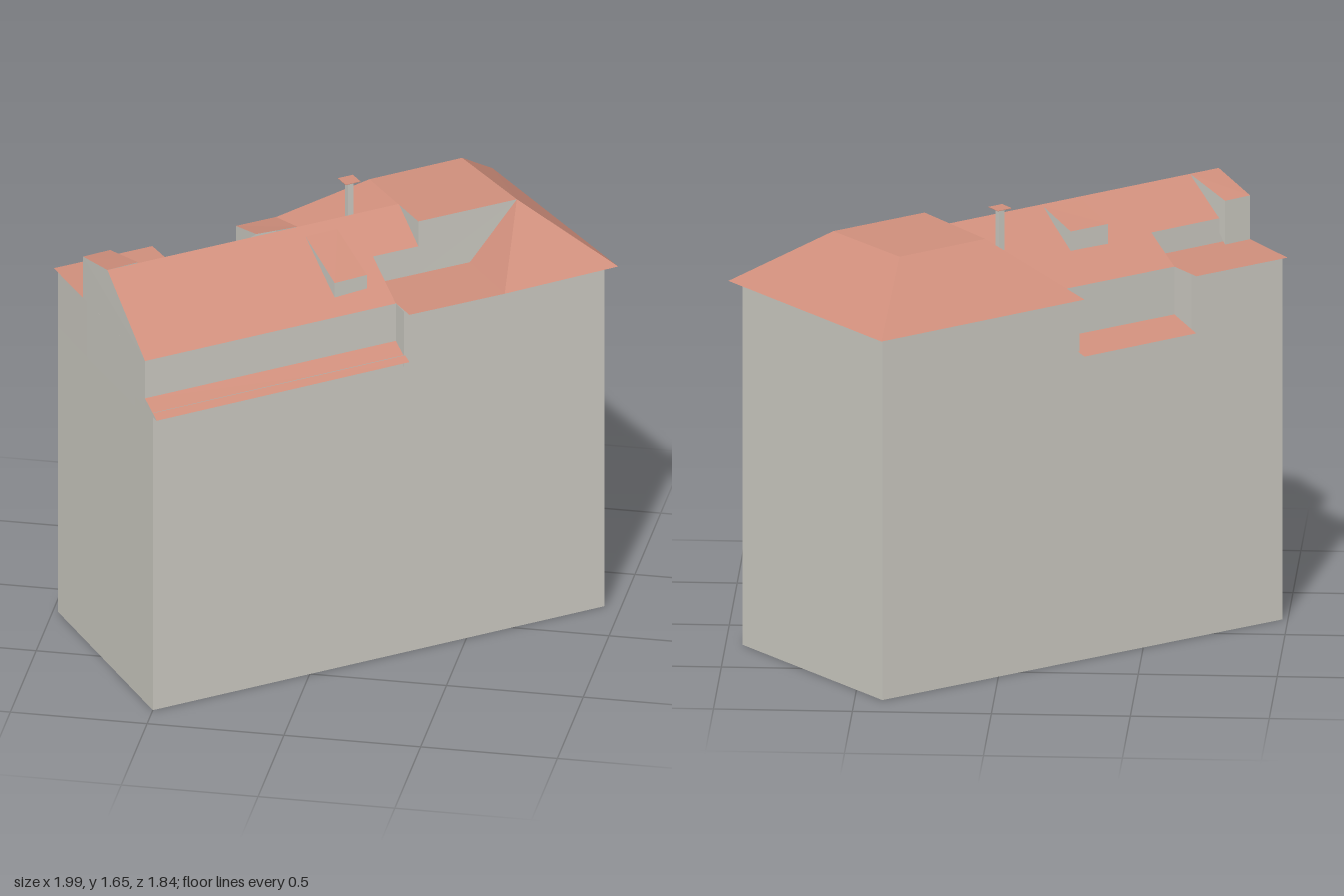
import * as THREE from 'three';

export function createModel() {
  const model = new THREE.Group();
  const material = (name, color) => {
    const m = new THREE.MeshStandardMaterial({ color, side: THREE.DoubleSide });
    m.name = name;
    return m;
  };
  const plaster = material('grey plaster', 0xcccac2);
  const tile = material('red roof tile', 0xd08f7c);

  // One mesh from flat convex polygons; corners are [x, y, z]
  function panels(name, mat, ...polygons) {
    const pos = [];
    for (const p of polygons)
      for (let i = 1; i < p.length - 1; i++) pos.push(...p[0], ...p[i], ...p[i + 1]);
    const geo = new THREE.BufferGeometry();
    geo.setAttribute('position', new THREE.Float32BufferAttribute(pos, 3));
    geo.computeVertexNormals();
    const mesh = new THREE.Mesh(geo, mat);
    mesh.name = name;
    model.add(mesh);
  }
  // Plan point [x, z] raised to a height
  const at = ([x, z], y) => [x, y, z];
  const level = (y, ...plan) => plan.map((p) => at(p, y));
  const upright = (a, b, y0, y1) => [at(a, y0), at(b, y0), at(b, y1), at(a, y1)];
  // Ring of upright walls around a plan
  const ring = (plan, y0, y1) => plan.map((a, i) => upright(a, plan[(i + 1) % plan.length], y0, y1));

  // Heights
  const eave = 1.37, ridge = 1.58, notch = 1.48, backNotch = 1.46;

  // Plan corners of the outer walls
  const west = [-0.98, 0.18], south = [-0.5, 0.89], east = [0.94, -0.23], north = [0.4, -0.86];
  // Main roof
  const ridgeW = [-0.73, 0.55], ridgeE = [0.2, -0.165];
  const frontW = [-0.54, 0.83], frontE = [0.26, 0.21];
  const backW = [-0.6, 0.03], backE = [-0.205, -0.27];
  // Terraces cut into the front and the back slope
  const cutA = [0.15, 0.07], cutB = [0.295, -0.04], cutC = [0.46, -0.165];
  const lowE = [0.325, 0.29], lowF = [0.63, 0.06];
  const nookA = [-0.51, 0.147], nookB = [-0.834, 0.4], nookC = [-0.685, -0.08];
  // Hipped end
  const hipN = [0.4, -0.92], hipE = [0.99, -0.23], hipW = [-0.3, -0.38];
  const topN = [0.355, -0.57], topE = [0.61, -0.28], topW = [0.06, -0.34];

  // Lower storeys
  const top = [1.16, 1.195, 1.195, 1.16];
  const base = [west, south, east, north];
  panels('mainWalls', plaster, ...base.map((a, i) => {
    const j = (i + 1) % 4, b = base[j];
    return [at(a, 0), at(b, 0), at(b, top[j]), at(a, top[i])];
  }));
  panels('floor', plaster, level(0, ...base));

  // Upper storey blocks
  panels('hipEndWalls', plaster,
    ...ring([north, east, [0.3, 0.268], frontE, backE, [-0.28, -0.348]], 1.15, eave));
  panels('backCornerWalls', plaster,
    ...ring([west, [-0.667, -0.056], backW, nookA, nookB], 1.15, eave));
  panels('setBackWalls', plaster, ...ring([frontW, frontE, backE, backW, nookB], 1.15, eave));

  // Gable at the west end
  const gableBack = [-0.853, 0.372];
  panels('gable', plaster,
    [at(frontW, eave), at(ridgeW, ridge), at(gableBack, 1.535), at(gableBack, eave)],
    [at(frontW, 1.175), at(frontW, 1.22), at([-0.48, 0.92], 1.18)]);

  // Main roof slopes, stepped around the terraces
  panels('frontSlope', tile,
    [at(ridgeW, ridge), at(frontW, eave), at(frontE, eave), at(cutA, notch)],
    [at(ridgeW, ridge), at(cutA, notch), at(cutB, notch), at(ridgeE, ridge)]);
  panels('backSlope', tile,
    [at(ridgeE, ridge), at(backE, eave), at(backW, eave), at(nookA, backNotch)],
    [at(ridgeE, ridge), at(nookA, backNotch), at(nookB, backNotch), at(ridgeW, ridge)]);

  // Low eave strips
  panels('frontEave', tile,
    [at(frontW, 1.22), at([-0.48, 0.92], 1.18), at(lowE, 1.18), at(frontE, 1.22)]);
  panels('backEave', tile,
    [at(backE, 1.19), at(hipW, 1.155), at(nookC, 1.155), at(backW, 1.19)]);

  // Terraces and the walls behind them
  panels('frontTerrace', tile, level(eave, cutA, lowE, lowF, cutC));
  panels('backTerrace', tile, level(eave, [-1, 0.16], nookB, nookA, nookC));
  panels('terraceWalls', plaster,
    upright(cutA, cutB, eave, notch),
    [at(cutB, eave), at(cutC, eave), at(topE, ridge), at(cutB, ridge)],
    [at(cutA, eave), at(frontE, eave), at(cutA, notch)],
    [at(ridgeE, ridge), at(cutB, notch), at(cutB, ridge)],
    upright(nookA, nookB, eave, backNotch),
    [at(nookA, eave), at(backW, eave), at(nookA, backNotch)]);

  // Hipped roof with a flat top
  panels('hipRoof', tile,
    [at(hipN, eave), at(topN, ridge), at(topE, ridge), at(hipE, eave)],
    [at(hipE, eave), at(topE, ridge), at(lowF, eave)],
    [at(lowF, eave), at(topE, ridge), at(cutC, eave)],
    [at(hipN, eave), at(hipW, eave), at(topW, ridge), at(topN, ridge)],
    [at(hipW, eave), at(backE, eave), at(ridgeE, ridge), at(topW, ridge)]);
  panels('flatTop', tile, level(ridge, topW, ridgeE, cutB, topE, topN));

  // Shed dormers: front corners a, b; upper corners c, d behind b, a
  function dormer(name, a, b, c, d, y0, y1, y2) {
    panels(name + 'Roof', tile, [at(a, y1), at(b, y1), at(c, y2), at(d, y2)]);
    panels(name + 'Walls', plaster, upright(a, b, y0, y1),
      [at(a, y0), at(a, y1), at(d, y2)], [at(b, y0), at(b, y1), at(c, y2)]);
  }
  dormer('frontDormer', [0.051, 0.286], [0.152, 0.2], [0.013, 0.035], [-0.088, 0.115], 1.41, 1.47, 1.56);
  dormer('backDormer', [-0.361, 0.019], [-0.233, -0.078], [-0.126, 0.072], [-0.26, 0.158], 1.45, 1.53, 1.575);
  dormer('cornerDormer', gableBack, [-0.767, 0.302], [-0.634, 0.468], ridgeW, eave, 1.535, ridge);

  // Chimney pipe with a thin cap
  const addBox = (name, mat, w, h, y) => {
    const mesh = new THREE.Mesh(new THREE.BoxGeometry(w, h, w), mat);
    mesh.name = name;
    mesh.position.set(0.015, y, -0.185);
    mesh.rotation.y = 0.66;
    model.add(mesh);
  };
  addBox('chimneyPipe', plaster, 0.023, 0.17, 1.563);
  addBox('chimneyCap', tile, 0.06, 0.002, 1.649);

  return model;
}
